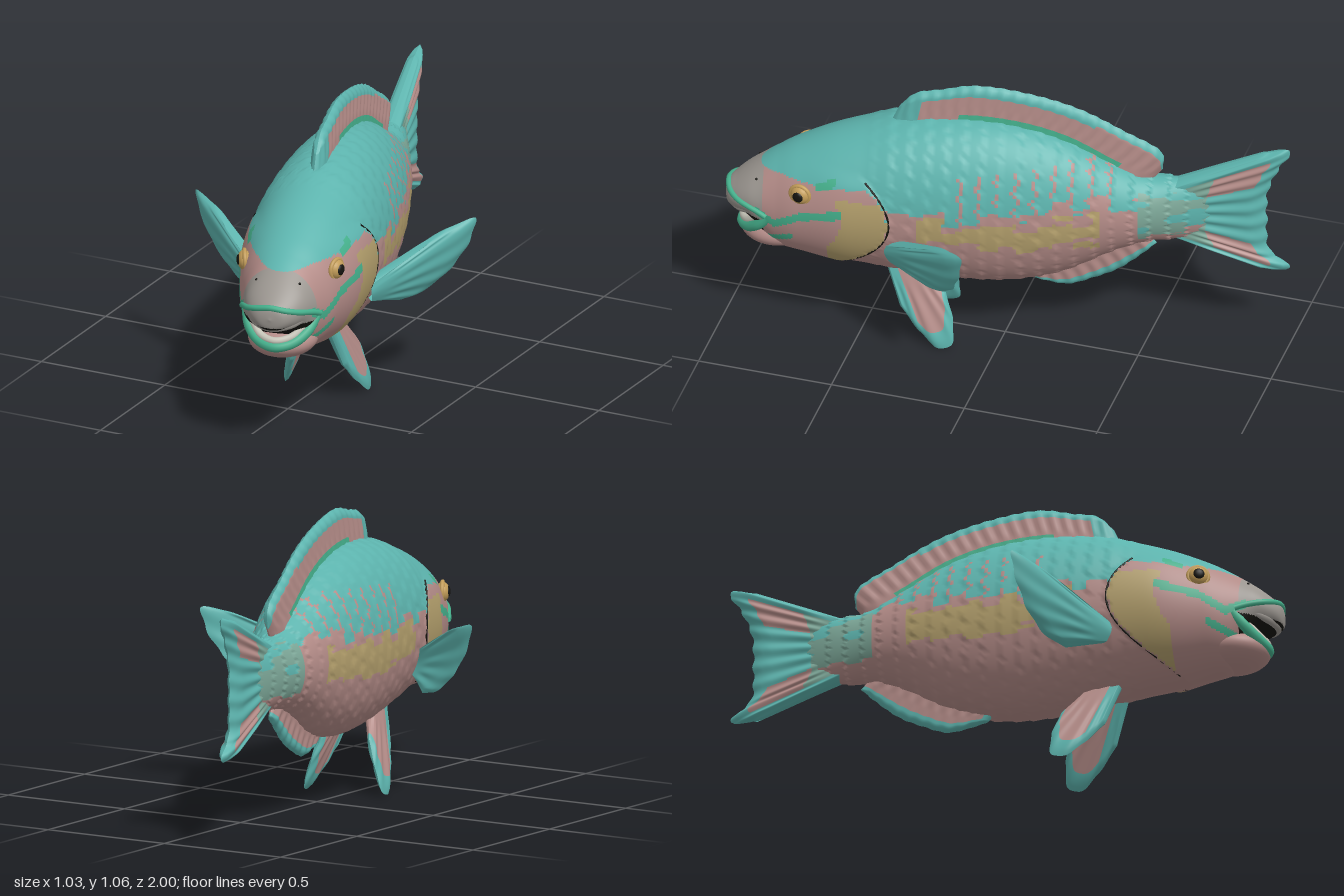
import * as THREE from 'three';

const COLORS = {
  teal: 0x5cb3ad, pink: 0xb48c88, ochre: 0xb39f6c, green: 0x45b08c, snoutGrey: 0x9b9690,
  seaGreen: 0x7ba596, eyeGold: 0xc29c58, dark: 0x15140f, tooth: 0xc6c4b8,
};
const names = Object.keys(COLORS);
const V = (x, y, z) => new THREE.Vector3(x, y, z);
const smooth = THREE.MathUtils.smoothstep;
const hash = (i, j) => { const n = Math.sin(i * 127.1 + j * 311.7) * 43758.5453; return n - Math.floor(n); };

// piecewise linear lookup through [position, value] pairs, position descending
function along(pairs, s) {
  for (let i = 1; i < pairs.length; i++) {
    const [a, va] = pairs[i - 1], [b, vb] = pairs[i];
    if (s >= b) return va + (vb - va) * Math.min(1, Math.max(0, (a - s) / (a - b)));
  }
  return pairs[pairs.length - 1][1];
}

// collects triangles by colour name and turns them into geometry groups
function paintedGeometry(positions, buckets) {
  const g = new THREE.BufferGeometry(), index = [];
  g.setAttribute('position', new THREE.Float32BufferAttribute(positions, 3));
  names.forEach((n, k) => {
    const tris = buckets[n];
    if (!tris) return;
    g.addGroup(index.length, tris.length, k);
    for (const t of tris) index.push(t);
  });
  g.setIndex(index);
  g.computeVertexNormals();
  return g;
}

// body stations: s, back height, belly height, half width; the front ones form the upper beak
const STATIONS = [
  [-0.78, 0.64, 0.50, 0.012], [-0.70, 0.68, 0.455, 0.040], [-0.60, 0.69, 0.44, 0.072], [-0.50, 0.70, 0.43, 0.103],
  [-0.38, 0.76, 0.385, 0.14], [-0.20, 0.855, 0.29, 0.182], [0, 0.91, 0.245, 0.212], [0.2, 0.92, 0.25, 0.227],
  [0.4, 0.895, 0.28, 0.231], [0.6, 0.835, 0.305, 0.217], [0.75, 0.77, 0.33, 0.186], [0.83, 0.725, 0.35, 0.157],
  [0.88, 0.692, 0.40, 0.137], [0.93, 0.655, 0.465, 0.116], [0.975, 0.617, 0.488, 0.088], [1.008, 0.585, 0.505, 0.05],
  [1.018, 0.5455, 0.5445, 0.0005],
];
const middle = new THREE.CatmullRomCurve3(STATIONS.map(([s, t, b]) => V(s, (t + b) / 2, (t - b) / 2)), false, 'catmullrom');
const widths = new THREE.CatmullRomCurve3(STATIONS.map(([s, , , w]) => V(s, w, 0)), false, 'catmullrom');

// half width of the body at length s and height y
function flankX(s, y) {
  let lo = 0, hi = 1;
  for (let k = 0; k < 24; k++) { const m = (lo + hi) / 2; if (middle.getPoint(m).x < s) lo = m; else hi = m; }
  const c = middle.getPoint(lo);
  return widths.getPoint(lo).y * Math.sqrt(Math.max(0, 1 - ((y - c.y) / c.z) ** 2));
}

const gillEdge = (y) => 0.41 + 3.5 * (y - 0.58) ** 2;
const scaleRow = 0.066, scalesAround = 26;

// overlapping scale under a point: raised towards the rear
function scaleAt(s, a) {
  const r = -s / scaleRow, q = a * scalesAround;
  let best = { h: 0, i: 0, j: 0, rear: 0 };
  for (let j = Math.floor(r) - 1; j <= Math.floor(r) + 2; j++) {
    const off = (j & 1) * 0.5;
    const i = Math.round(q - off), dx = q - off - i, dr = r - j;
    const d = Math.hypot(dx * 1.35, dr);
    const h = d < 0.95 ? 0.55 + 0.5 * dr : 0;
    if (h > best.h) best = { h, i: (i + scalesAround) % scalesAround, j, rear: d };
  }
  return best;
}

const STRIPE = [[0.93, 0.56], [0.88, 0.54], [0.83, 0.515], [0.73, 0.575], [0.57, 0.615]];
const CROWN = [[0.93, 0.68], [0.8, 0.70], [0.6, 0.705], [0.4, 0.72]];
function headColor(s, y) {
  if (s > 0.87 && y < 0.51) return 'dark';
  if (s > 0.57 && s < 0.9 && Math.abs(y - along(STRIPE, s)) < 0.017) return 'green';
  if (s > 0.60 && s < 0.67 && Math.abs(y - 0.70 - (0.66 - s) * 0.4) < 0.014) return 'green';
  if (s > 0.76 && s < 0.88 && Math.abs(y - 0.415 - (0.88 - s) * 0.5) < 0.015) return 'green';
  if (y > along(CROWN, s)) return 'teal';
  if (s > 0.875) return 'snoutGrey';
  if (s < gillEdge(y) + 0.17 && s < 0.63 && y > 0.32 && y < 0.67) return 'ochre';
  return 'pink';
}
function flankColor(s, y, sc) {
  const n = hash(sc.i, sc.j), yy = y + (n - 0.5) * 0.07;
  if (s < -0.62 && y > 0.64) return 'teal';
  if (s < -0.48 && yy > 0.49 && yy < 0.66) return n > 0.2 ? 'seaGreen' : 'teal';
  const line = along([[0.4, 0.63], [0.1, 0.63], [-0.3, 0.66], [-0.6, 0.64]], s);
  if (yy > line) return s < 0.2 && s > -0.42 && y < line + 0.15 && sc.rear > 0.79 ? 'pink' : 'teal';
  if (s < 0.3 && s > -0.35 && yy > 0.5 && yy < 0.605) return 'ochre';
  return 'pink';
}

function bodyGeometry() {
  const NS = 250, NA = 160, pos = [], info = [], buckets = {};
  for (let j = 0; j <= NS; j++) {
    const c = middle.getPoint(j / NS), w = widths.getPoint(j / NS).y, s = c.x;
    for (let i = 0; i < NA; i++) {
      const a = i / NA, th = a * Math.PI * 2, y = c.y + c.z * Math.cos(th);
      const sc = scaleAt(s, a), isHead = s > (y > 0.76 ? 0.52 : gillEdge(y));
      const bump = isHead ? 0.010 * (1 - smooth(s, 0.55, 0.75)) * (1 - smooth(y, 0.70, 0.77))
        : (0.010 * sc.h - 0.003) * smooth(s, -0.75, -0.6) * (1 - smooth(s, 0.42, 0.52));
      pos.push((w + bump) * Math.sin(th), y + bump * Math.cos(th), s);
      info.push(isHead ? headColor(s, y) : flankColor(s, y, sc));
    }
  }
  for (let j = 0; j < NS; j++) for (let i = 0; i < NA; i++) {
    const k = (i + 1) % NA, a = j * NA + i, b = a + NA, c = j * NA + k, d = c + NA;
    (buckets[info[a]] ||= []).push(a, b, c, b, d, c);
  }
  return paintedGeometry(pos, buckets);
}

// fin: a ruled sheet from a root curve to a tip curve, thickened along n with raised rays
function finGeometry(root, tip, n, thick, rays, paint, side = 1) {
  const curve = (pts) => new THREE.CatmullRomCurve3(pts.map(([x, y, z]) => V(x * side, y, z)));
  const A = curve(root), B = curve(tip), N = V(n[0] * side, n[1], n[2]).normalize();
  const NU = 96, NV = 20, pos = [], buckets = {};
  for (const f of [1, -1]) {
    const base = pos.length / 3;
    for (let i = 0; i <= NU; i++) {
      const u = i / NU, a = A.getPointAt(u), b = B.getPointAt(u), wave = u * rays * Math.PI * 2;
      for (let j = 0; j <= NV; j++) {
        const v = j / NV, edge = Math.max(0, Math.min(1, (1 - v) / 0.16, u / 0.07, (1 - u) / 0.07));
        const ripple = 1 + 0.13 * Math.sin(wave) * smooth(v, 0.15, 0.5);
        const p = a.clone().lerp(b, v * (1 - 0.012 * (1 - Math.cos(wave))));
        p.addScaledVector(N, f * thick * (1 - 0.4 * v) * Math.sqrt(edge) * ripple);
        pos.push(p.x, p.y, p.z);
      }
    }
    const du = A.getPointAt(0.6).add(B.getPointAt(0.6)).sub(A.getPointAt(0.4)).sub(B.getPointAt(0.4));
    const dv = B.getPointAt(0.5).sub(A.getPointAt(0.5));
    const flip = du.cross(dv).dot(N) * f < 0;
    for (let i = 0; i < NU; i++) for (let j = 0; j < NV; j++) {
      const a = base + i * (NV + 1) + j, b = a + NV + 1, c = a + 1, d = b + 1;
      const list = (buckets[paint((i + 0.5) / NU, (j + 0.5) / NV)] ||= []);
      if (flip) list.push(a, c, b, b, c, d); else list.push(a, b, c, b, d, c);
    }
  }
  return paintedGeometry(pos, buckets);
}

const tube = (pts, r) => new THREE.TubeGeometry(new THREE.CatmullRomCurve3(pts.map((p) => V(...p))), 56, r, 10);
// tube round the muzzle, mirrored from its middle point
const lipTube = (pts, r) => tube([...pts.slice(1).reverse().map(([x, y, z]) => [-x, y, z]), ...pts], r);

export function createModel() {
  const mats = {};
  for (const n of names) {
    mats[n] = new THREE.MeshStandardMaterial({ color: COLORS[n], side: THREE.DoubleSide });
    mats[n].name = n;
  }
  const palette = names.map((n) => mats[n]);
  const fish = new THREE.Group();
  const add = (name, geo, mat, p = [0, 0, 0], scale = [1, 1, 1], turn = 0) => {
    const m = new THREE.Mesh(geo, mat);
    m.name = name;
    m.position.set(...p);
    m.scale.set(...scale);
    m.rotation.y = turn;
    fish.add(m);
  };
  const flat = (pts) => pts.map(([z, y]) => [0, y, z]);

  add('body', bodyGeometry(), palette);

  // median fins
  add('dorsalFin', finGeometry(
    flat([[0.43, 0.86], [0.25, 0.90], [0, 0.895], [-0.2, 0.84], [-0.4, 0.73], [-0.53, 0.69]]),
    flat([[0.39, 0.95], [0.33, 1.01], [0.24, 1.03], [0.12, 1.055], [-0.06, 1.035], [-0.25, 0.98], [-0.42, 0.89], [-0.56, 0.80], [-0.56, 0.73]]),
    [1, 0, 0], 0.031, 22,
    (u, v) => (u < 0.1 || v > (u > 0.7 ? 0.84 : 0.76) ? 'teal' : v < 0.27 && u > 0.25 && u < 0.85 ? 'green' : 'pink')), palette);
  add('analFin', finGeometry(
    flat([[-0.04, 0.27], [-0.2, 0.31], [-0.38, 0.41], [-0.5, 0.45]]),
    flat([[-0.07, 0.235], [-0.14, 0.215], [-0.22, 0.203], [-0.31, 0.235], [-0.40, 0.28], [-0.49, 0.355], [-0.54, 0.405]]),
    [1, 0, 0], 0.024, 10, (u, v) => (v > 0.72 || u < 0.06 ? 'teal' : 'pink')), palette);
  add('tailFin', finGeometry(
    flat([[-0.56, 0.67], [-0.57, 0.57], [-0.56, 0.46]]),
    flat([[-0.93, 0.825], [-1.03, 0.84], [-0.985, 0.76], [-0.945, 0.66], [-0.94, 0.53], [-0.95, 0.40], [-1.03, 0.32], [-0.92, 0.315]]),
    [1, 0, 0], 0.039, 11,
    (u, v) => (u < 0.15 || u > 0.87 || v > 0.87 ? 'teal' : v < 0.38 ? 'seaGreen'
      : u < 0.37 - v * 0.05 || u > 0.65 + v * 0.05 ? 'pink' : 'teal')), palette);

  // paired fins, gill covers, eyes and nostrils
  const gill = Array.from({ length: 10 }, (_, k) => {
    const y = 0.32 + k * 0.0465, s = gillEdge(y);
    return [flankX(s, y) + 0.006, y, s];
  });
  for (const side of [1, -1]) {
    const tag = side > 0 ? 'left' : 'right';
    add(tag + 'PectoralFin', finGeometry(
      [[0.20, 0.49, 0.41], [0.205, 0.45, 0.41], [0.20, 0.41, 0.39]],
      [[0.36, 0.585, 0.27], [0.44, 0.635, 0.19], [0.525, 0.655, 0.12], [0.50, 0.56, 0.13], [0.435, 0.46, 0.16], [0.35, 0.39, 0.21], [0.275, 0.37, 0.27]],
      [0.62, -0.22, 0.75], 0.021, 6, () => 'teal', side), palette);
    add(tag + 'PelvicFin', finGeometry(
      [[0.06, 0.29, 0.43], [0.06, 0.29, 0.36], [0.055, 0.29, 0.30]],
      [[0.10, 0.14, 0.38], [0.135, 0.045, 0.30], [0.158, -0.008, 0.225], [0.152, 0.008, 0.19], [0.125, 0.10, 0.185], [0.09, 0.20, 0.215]],
      [1, 0.35, 0.1], 0.02, 5, (u, v) => (u < 0.3 || v > 0.8 ? 'teal' : 'pink'), side), palette);
    add(tag + 'GillEdge', tube(gill.map(([x, y, z]) => [x * side, y, z]), 0.004), mats.dark);

    const turn = side * 1.25;
    add(tag + 'Eyelid', new THREE.TorusGeometry(0.036, 0.008, 12, 32), mats.eyeGold, [side * 0.171, 0.655, 0.735], [1, 1, 1], turn);
    add(tag + 'Eye', new THREE.SphereGeometry(0.036, 28, 18), mats.eyeGold, [side * 0.172, 0.655, 0.735], [1, 1, 0.7], turn);
    add(tag + 'Pupil', new THREE.SphereGeometry(0.021, 20, 14), mats.dark, [side * 0.189, 0.656, 0.741], [1, 1, 0.5], turn);
    add(tag + 'Nostril', new THREE.SphereGeometry(0.005, 8, 6), mats.dark, [side * flankX(0.9, 0.65), 0.65, 0.9]);
  }

  // beak: lower jaw, lips and a row of fused teeth
  const stripe = [[0.995, 0.578], [0.965, 0.566], [0.93, 0.556], [0.89, 0.543], [0.86, 0.53]].map(([s, y]) => [flankX(s, y), y, s]);
  add('lowerJaw', new THREE.SphereGeometry(1, 40, 28), mats.pink, [0, 0.415, 0.83], [0.126, 0.066, 0.135]);
  add('upperLip', lipTube([[0, 0.507, 0.99], [0.06, 0.514, 0.965], [0.1, 0.528, 0.91], [0.122, 0.528, 0.86]], 0.016), mats.snoutGrey);
  add('upperLipStripe', lipTube([[0, 0.588, 1.006], ...stripe], 0.011), mats.green);
  add('lowerLip', lipTube([[0, 0.420, 0.957], [0.06, 0.431, 0.937], [0.108, 0.469, 0.895], [0.130, 0.518, 0.85]], 0.02), mats.green);
  add('lowerTeeth', lipTube([[0, 0.442, 0.954], [0.055, 0.453, 0.934], [0.095, 0.487, 0.897]], 0.014), mats.tooth);

  // the whole fish swims slightly across the centre line
  fish.name = 'fish';
  fish.rotation.y = 0.21;
  fish.position.set(-0.03, 0, 0);
  const model = new THREE.Group();
  model.name = 'reefFish';
  model.add(fish);
  return model;
}
